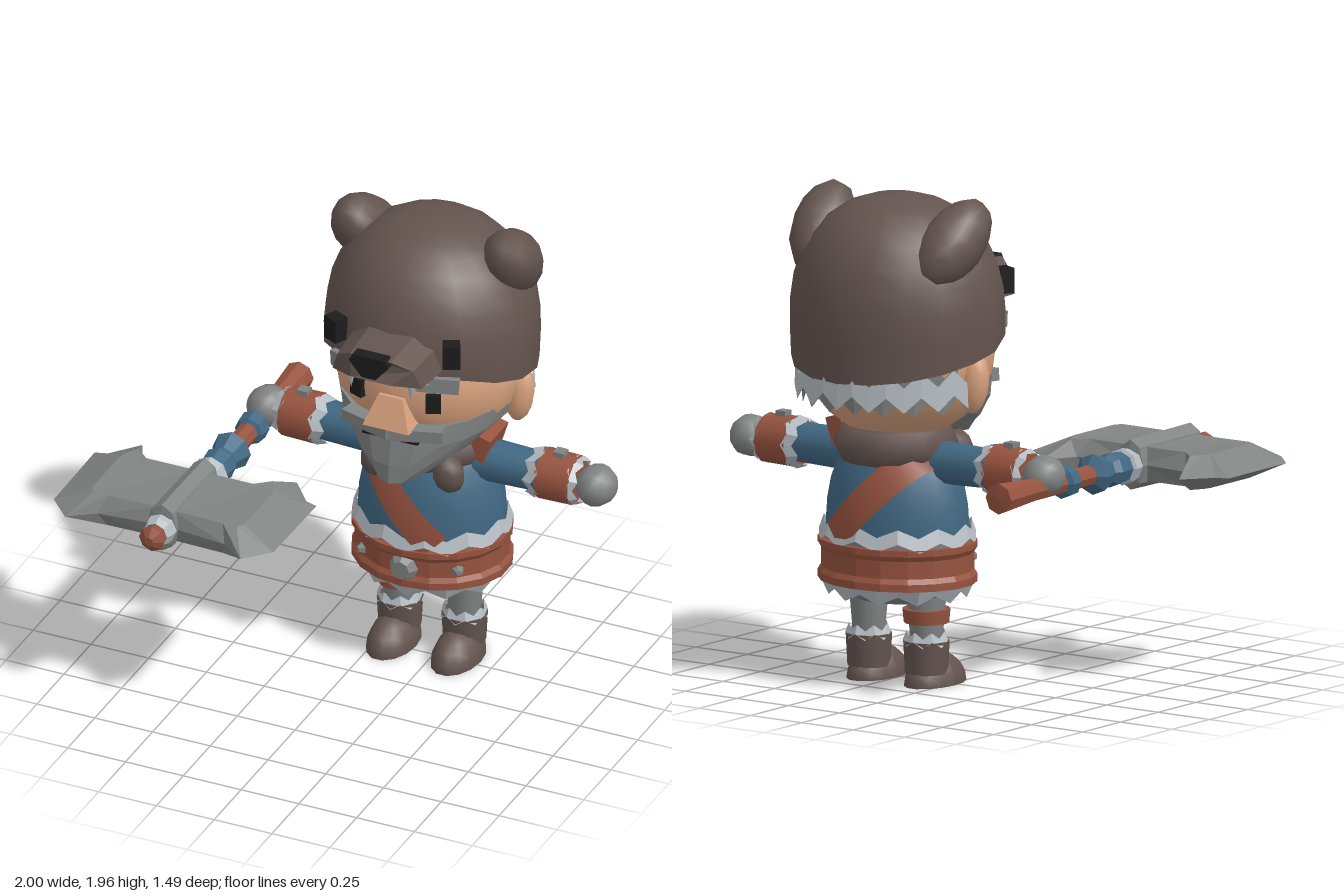
import * as THREE from 'three';
import { ParametricGeometry } from 'three/addons/geometries/ParametricGeometry.js';

const CX = 0.205, CZ = -0.335; // axis of the figure
const paint = (name, color) => new THREE.MeshStandardMaterial({ name, color, side: THREE.DoubleSide });

export function createModel() {
  const root = new THREE.Group();
  const brown = paint('brown fur', 0x64544f), skin = paint('skin', 0xd9a27e), grey = paint('grey', 0x808482);
  const pale = paint('pale fur', 0xb4bcc2), blue = paint('blue cloth', 0x416883), red = paint('red leather', 0x97533f);
  const black = paint('black', 0x1c1c1c);

  const add = (name, geo, mat, pos = [0, 0, 0], rot = [0, 0, 0], scale = [1, 1, 1], parent = root) => {
    const m = new THREE.Mesh(geo, mat);
    m.name = name;
    m.position.set(...pos); m.rotation.set(...rot); m.scale.set(...scale);
    parent.add(m);
    return m;
  };
  const flat = g => { const f = g.index ? g.toNonIndexed() : g; f.computeVertexNormals(); return f; };
  const box = (x, y, z) => new THREE.BoxGeometry(x, y, z);
  const ball = (w = 12, h = 8) => new THREE.SphereGeometry(1, w, h);
  const lathe = (pts, n = 16) => new THREE.LatheGeometry(pts.map(p => new THREE.Vector2(...p)), n);
  const surface = (fn, a, b) => new ParametricGeometry((u, v, t) => t.set(...fn(u, v)), a, b);
  const extrude = (pts, depth) => new THREE.ExtrudeGeometry(
    new THREE.Shape(pts.map(p => new THREE.Vector2(...p))), { depth, bevelEnabled: false });
  const both = fn => [-1, 1].forEach(fn);

  // Open ring of fur with pointed tufts
  const tufts = (rTop, rBottom, h, n, amp, start = 0, sweep = Math.PI * 2) => {
    const g = new THREE.CylinderGeometry(rTop, rBottom, h, n * 2, 1, true, start, sweep);
    const p = g.attributes.position;
    for (let i = 0; i < p.count; i++) {
      const col = i % (n * 2 + 1);
      p.setY(i, p.getY(i) + (col % 2 ? amp : -amp) / 2);
    }
    return flat(g);
  };

  // Helmet shell: rim drops from the brow to the nape
  add('helmet', surface((u, v) => {
    const a = u * Math.PI * 2, c = Math.cos(a);
    const rim = 1.34 + (c > 0 ? 0.15 * c ** 1.5 : 0.09 * c);
    const y = rim + (1.95 - rim) * Math.sin(v * Math.PI / 2);
    const t = Math.min(1, Math.max(0, (y - 1.45) / 0.5));
    const r = (1 - t ** 2.3) ** 0.435 * (y < 1.45 ? 1 - (1.45 - y) * 0.1 : 1);
    return [CX + 0.432 * r * Math.sin(a), y, CZ + 0.415 * r * c];
  }, 18, 9), brown);

  // Snout narrows and rounds toward the front
  const snout = extrude([[-0.22, -0.02], [-0.185, 0.075], [-0.1, 0.13], [0.1, 0.13], [0.185, 0.075], [0.22, -0.02], [0.1, 0.005], [-0.1, 0.005]], 0.34);
  const sp = snout.attributes.position;
  for (let i = 0; i < sp.count; i++) if (sp.getZ(i) > 0.1) {
    sp.setX(i, sp.getX(i) * 0.88);
    sp.setY(i, sp.getY(i) * 0.85 - 0.005);
    sp.setZ(i, 0.34 - Math.max(0, Math.abs(sp.getX(i)) - 0.09) * 0.6);
  }
  add('snout', flat(snout), brown, [CX, 1.51, -0.1]);
  add('bearNose', extrude([[-0.07, 0.05], [0.07, 0.05], [0.085, 0.02], [0.03, -0.045], [-0.03, -0.045], [-0.085, 0.02]], 0.05), black, [CX, 1.575, 0.208]);

  both(s => {
    add('bearEar', ball(), brown, [CX + s * 0.315, 1.79, -0.4], [-0.75, s * 0.15, 0], [0.122, 0.125, 0.215]);
    add('bearEye', box(0.07, 0.1, 0.06), black, [CX + s * 0.25, 1.575, 0.025], [0, s * 0.45, 0]);
    add('fang', new THREE.ConeGeometry(0.025, 0.1, 5), pale, [CX + s * 0.13, 1.445, 0.14], [Math.PI, 0, 0]);
    add('brow', box(0.17, 0.065, 0.08), grey, [CX + s * 0.185, 1.43, 0.01], [0, s * 0.4, s * -0.08]);
    add('browTuft', box(0.05, 0.06, 0.06), pale, [CX + s * 0.125, 1.45, 0.045], [0, s * 0.3, s * 0.6]);
    add('eye', box(0.06, 0.08, 0.03), black, [CX + s * 0.163, 1.32, 0.005], [0, s * 0.38, 0]);
    add('ear', ball(10, 8), skin, [CX + s * 0.375, 1.235, -0.34], [0, 0, s * -0.1], [0.06, 0.125, 0.058]);
    add('moustache', box(0.22, 0.05, 0.06), grey, [CX + s * 0.105, 1.185, 0.035], [0, s * 0.22, s * 0.06]);
  });

  // Head, nose and hair
  add('head', ball(18, 12), skin, [CX, 1.33, -0.33], [0, 0, 0], [0.39, 0.36, 0.37]);
  const nose = new THREE.CylinderGeometry(0.075, 0.14, 0.13, 4, 1, false, Math.PI / 4);
  add('nose', flat(nose), skin, [CX, 1.265, 0.025], [-0.12, 0, 0], [1, 1, 0.7]);
  add('innerHair', tufts(0.39, 0.375, 0.15, 8, -0.05, 1.85, 2.58), grey, [CX, 1.225, CZ]);
  add('hair', tufts(0.40, 0.405, 0.1, 8, 0.06, 1.75, 2.78), pale, [CX, 1.225, CZ]);

  // Beard wraps the jaw; rows are [fraction down, x radius, z radius]
  const rows = [[0, 0.34, 0.33], [0, 0.37, 0.375], [0.35, 0.35, 0.39], [0.7, 0.275, 0.405], [1, 0.17, 0.41], [0.98, 0.04, 0.22]];
  add('beard', surface((u, v) => {
    const a = (u - 0.5) * 3.4, c = Math.max(0, Math.cos(a));
    const [f, rx, rz] = rows[Math.round(v * 5)];
    const top = 1.26 - 0.06 * c, bottom = 1.06 - 0.11 * c ** 0.6;
    return [CX + rx * Math.sin(a), top + (bottom - top) * f, CZ + rz * Math.cos(a)];
  }, 12, 5), grey);
  add('mouth', box(0.24, 0.012, 0.02), black, [CX, 1.15, 0.05]);

  // Torso, following one radius rule shared with the strap
  const R = y => 0.3 * Math.sqrt(Math.max(0, 1 - (Math.max(0, y - 0.62) / 0.45) ** 2.2));
  const heights = [0.58, 0.64, 0.72, 0.8, 0.88, 0.95, 1.01, 1.05];
  add('shirt', lathe(heights.map(y => [R(y), y])), blue, [CX, 0, CZ], [0, 0, 0], [1, 1, 0.85]);
  both(side => add('strap', surface((u, v) => {
    const y0 = 0.6 + u * 0.35, w = (v - 0.5) * 0.13;
    const x = 0.04 - (y0 - 0.9) / 1.04 + w * 0.72, y = y0 + w * 0.69;
    const r = R(y) * 1.05 + 0.005;
    return [x, y, CZ + side * 0.86 * Math.sqrt(Math.max(0, r * r - (x - CX) ** 2))];
  }, 10, 2), red));
  add('shoulderClasp', box(0.07, 0.11, 0.17), red, [CX + 0.24, 0.99, CZ], [0, 0, -0.3]);

  // Fur collar with two front lobes
  add('collar', new THREE.TorusGeometry(0.165, 0.085, 7, 14), brown, [CX, 0.96, CZ - 0.01], [Math.PI / 2, 0, 0], [1, 1, 1]);
  both(s => add('collarLobe', ball(8, 6), brown, [CX + s * 0.155, 0.915, -0.15], [0, 0, s * 0.25], [0.068, 0.085, 0.06]));

  // Belt and layered skirt
  const ring = [1, 1, 0.875];
  add('skirt', lathe([[0, 0.34], [0.17, 0.335], [0.27, 0.39], [0.3, 0.5], [0.305, 0.62]]), grey, [CX, 0, CZ], [0, 0, 0], ring);
  add('upperFringe', tufts(0.305, 0.325, 0.055, 11, 0.035), pale, [CX, 0.61, CZ], [0, 0, 0], ring);
  add('lowerFringe', tufts(0.315, 0.285, 0.06, 11, 0.035), pale, [CX, 0.395, CZ], [0, 0, 0], ring);
  add('belt', flat(lathe([[0.29, 0.41], [0.328, 0.41], [0.328, 0.44], [0.315, 0.46], [0.315, 0.53], [0.328, 0.55], [0.328, 0.575], [0.29, 0.575]], 18)), red, [CX, 0, CZ], [0, 0, 0], ring);
  add('buckle', flat(new THREE.CylinderGeometry(0.04, 0.068, 0.045, 8)), grey, [CX, 0.49, -0.055], [Math.PI / 2, 0, 0]);
  both(s => add('beltStud', flat(new THREE.CylinderGeometry(0.012, 0.03, 0.03, 6)), grey, [CX + s * 0.21, 0.49, -0.123], [Math.PI / 2, 0, s * -0.65]));

  // Arms along x; local y runs outward
  both(s => {
    const arm = new THREE.Group();
    arm.name = s > 0 ? 'leftArm' : 'rightArm';
    arm.position.set(CX, 0.9, CZ);
    arm.rotation.z = -s * Math.PI / 2;
    root.add(arm);
    const part = (name, geo, mat, y, ...rest) => add(name, geo, mat, [0, y, 0], ...rest, arm);
    const none = [[0, 0, 0], [1, 1, 1]];
    part('sleeve', new THREE.CylinderGeometry(0.08, 0.09, 0.34, 12), blue, 0.3, ...none);
    part('innerCuff', tufts(0.105, 0.09, 0.045, 7, 0.025), pale, 0.462, ...none);
    part('bracer', new THREE.CylinderGeometry(0.1, 0.103, 0.145, 12), red, 0.555, ...none);
    part('outerCuff', tufts(0.085, 0.1, 0.03, 7, 0.02), pale, 0.638, ...none);
    part('hand', ball(10, 8), grey, 0.712, [0, 0, 0], [0.085, 0.083, 0.092]);
    add('bracerStud', box(0.03, 0.045, 0.045), grey, [-s * 0.103, 0.555, 0], ...none, arm);
  });

  // Legs and boots
  both(s => {
    const x = CX + s * 0.14;
    add('leg', new THREE.CylinderGeometry(0.082, 0.062, 0.24, 12), grey, [x, 0.28, CZ]);
    add('ankleFur', tufts(0.078, 0.092, 0.035, 7, 0.025), pale, [x, 0.19, CZ]);
    add('bootShaft', new THREE.CylinderGeometry(0.092, 0.085, 0.13, 12), brown, [x, 0.115, CZ]);
    const foot = ball(14, 10).scale(0.097, 0.125, 0.16), p = foot.attributes.position;
    for (let i = 0; i < p.count; i++) {
      const k = p.getY(i) < 0 ? 0 : 1;
      p.setY(i, k ? Math.max(0, p.getY(i)) : 0);
    }
    foot.computeVertexNormals();
    add('foot', foot, brown, [x, 0, -0.277]);
  });
  add('legBand', new THREE.CylinderGeometry(0.095, 0.09, 0.055, 12), red, [CX - 0.14, 0.28, CZ]);

  // Axe, with the shaft along z
  const axe = new THREE.Group();
  axe.name = 'axe';
  axe.position.set(-0.52, 0.86, 0);
  root.add(axe);
  const turned = (name, pts, mat, scale = [1, 1, 1]) =>
    add(name, flat(lathe(pts, 8)), mat, [0, 0, 0], [Math.PI / 2, 0, 0], scale, axe);
  turned('shaft', [[0, -0.66], [0.062, -0.655], [0.045, -0.42], [0.04, 0.2]], red);
  turned('gripRing', [[0.045, -0.25], [0.065, -0.24], [0.06, -0.185], [0.04, -0.175]], blue);
  turned('gripKnob', [[0.04, -0.06], [0.082, -0.03], [0.055, 0.05], [0.07, 0.08], [0.06, 0.17]], blue);
  turned('rearCollar', [[0.05, 0.15], [0.075, 0.165], [0.062, 0.22]], pale);
  turned('hub', [[0, 0.2], [0.062, 0.22], [0.065, 0.62], [0, 0.635]], grey, [1, 1, 1.62]);
  turned('frontCollar', [[0.065, 0.62], [0.062, 0.65], [0.05, 0.68]], pale);
  turned('tip', [[0.04, 0.67], [0.055, 0.715], [0.02, 0.742], [0, 0.742]], red);

  // Blade: sharp outer outline at mid height, thick inner outline above and below
  const outer = [[0.03, 0.25], [0.265, 0.225], [0.335, 0.085], [0.43, 0.2], [0.48, 0.215], [0.475, 0.605], [0.38, 0.705], [0.275, 0.63], [0.03, 0.605]];
  const inner = [[0.03, 0.27], [0.23, 0.27], [0.29, 0.22], [0.32, 0.27], [0.33, 0.3], [0.33, 0.56], [0.31, 0.59], [0.25, 0.59], [0.03, 0.585]];
  both(s => {
    const verts = [], put = (p, y) => verts.push(s * p[0], y, p[1]);
    both(k => outer.forEach((o, i) => {
      const j = (i + 1) % outer.length, h = 0.068 * k, mid = [0.16, 0.42];
      const quad = [[o, 0], [inner[i], h], [inner[j], h], [o, 0], [inner[j], h], [outer[j], 0], [inner[i], h], [mid, h * 0.85], [inner[j], h]];
      if (s * k < 0) quad.reverse();
      quad.forEach(q => put(...q));
    }));
    const g = new THREE.BufferGeometry();
    g.setAttribute('position', new THREE.Float32BufferAttribute(verts, 3));
    g.computeVertexNormals();
    add('blade', g, grey, [0, 0, 0], [0, 0, 0], [1, 1, 1], axe);
  });
  return root;
}
